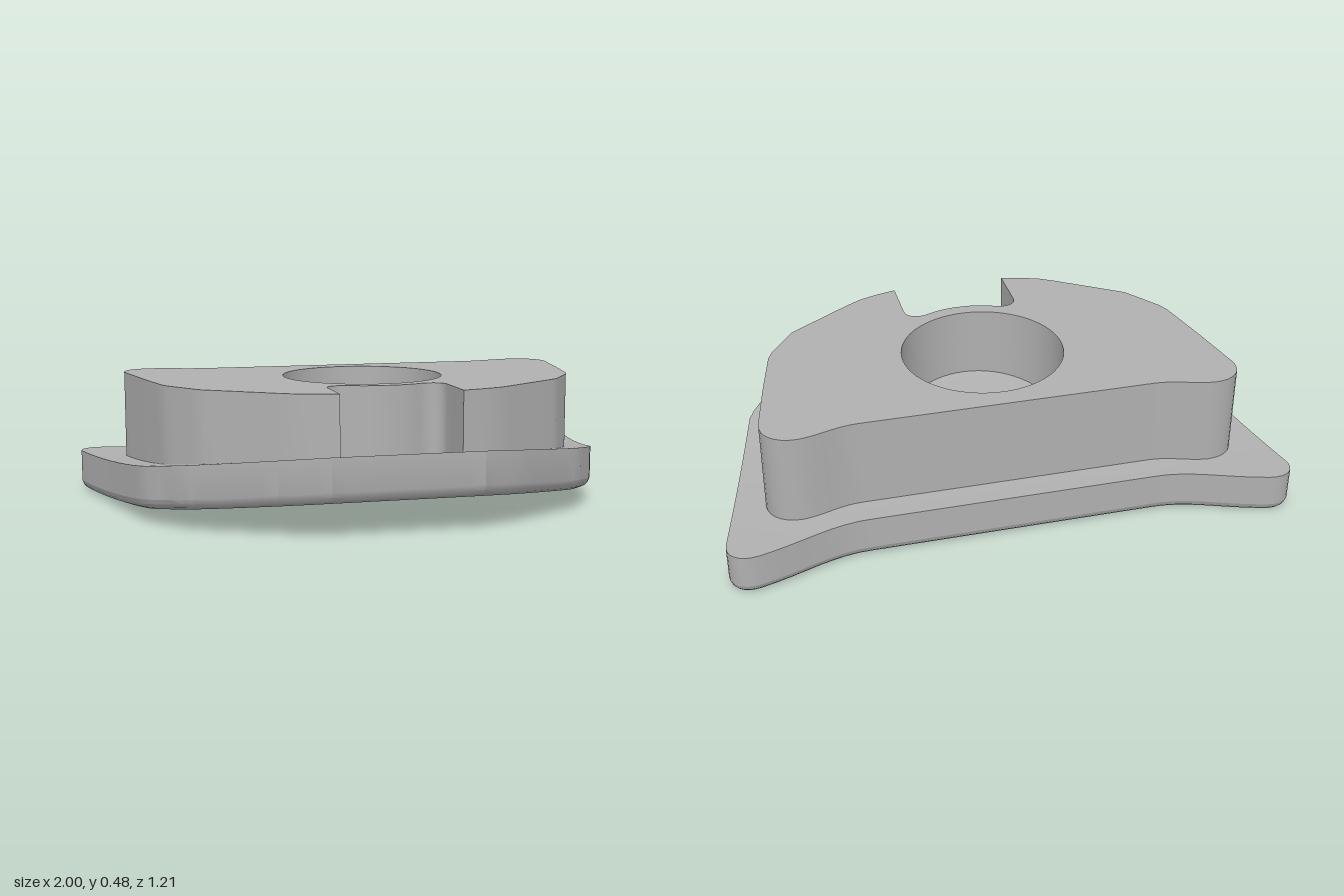
import * as THREE from 'three';
import { toCreasedNormals } from 'three/addons/utils/BufferGeometryUtils.js';

// Curved plate surfaces: height depends on z only
const plateTop = (z) => 0.155 + 0.09 * (z + 0.6) ** 2;
const plateBottom = (z) => plateTop(z) - 0.153;

// Split long edges of a closed loop so that it follows the curved surfaces
function densify(pts, step = 0.07) {
  const out = [];
  pts.forEach((p, i) => {
    const q = pts[(i + 1) % pts.length];
    const n = Math.max(1, Math.ceil(p.distanceTo(q) / step));
    for (let k = 0; k < n; k++) out.push(p.clone().lerp(q, k / n));
  });
  return out;
}

const mirror = (pts) => pts.map((p) => new THREE.Vector2(-p.x, p.y)).reverse();

// Closed loop from its +x half, which starts and ends away from or on x = 0
function symmetricLoop(path) {
  const half = path.getPoints(8);
  const other = mirror(half).filter((p) => Math.abs(p.x) > 1e-4);
  return densify(half.concat(other));
}

// Move every point of a loop inward by d
function inset(pts, d) {
  const n = pts.length;
  return pts.map((p, i) => {
    const a = p.clone().sub(pts[(i + n - 1) % n]).normalize();
    const b = pts[(i + 1) % n].clone().sub(p).normalize();
    const t = a.add(b).normalize();
    return new THREE.Vector2(p.x - t.y * d, p.y + t.x * d);
  });
}

const at = (p, fn) => [p.x, fn(p.y), p.y];

// Band of quads between a lower and an upper loop
function band(out, low, lowY, high, highY) {
  low.forEach((p, i) => {
    const j = (i + 1) % low.length;
    const a = at(p, lowY), b = at(low[j], lowY);
    const c = at(high[j], highY), d = at(high[i], highY);
    out.push(...a, ...d, ...c, ...a, ...c, ...b);
  });
}

// Split triangles along a line of constant z
function cutAtZ(tris, z) {
  const res = [];
  for (const t of tris) {
    const side = t.map((p) => p.y - z);
    if (Math.max(...side) < 1e-6 || Math.min(...side) > -1e-6) { res.push(t); continue; }
    for (const sign of [1, -1]) {
      const poly = [];
      t.forEach((p, i) => {
        const j = (i + 1) % 3;
        if (side[i] * sign >= 0) poly.push(p);
        if (side[i] * side[j] < 0) poly.push(p.clone().lerp(t[j], side[i] / (side[i] - side[j])));
      });
      for (let k = 1; k < poly.length - 1; k++) res.push([poly[0], poly[k], poly[k + 1]]);
    }
  }
  return res;
}

// Filled face bounded by a loop, with holes, laid on a height function
function cap(out, loop, holes, yFn, up, cuts = 0) {
  const all = loop.concat(...holes);
  let tris = THREE.ShapeUtils.triangulateShape(loop, holes).map((f) => f.map((i) => all[i]));
  for (let k = 1; k < cuts; k++) tris = cutAtZ(tris, -0.62 + (1.24 * k) / cuts);
  for (const [a, b, c] of tris) {
    const area = (b.x - a.x) * (c.y - a.y) - (b.y - a.y) * (c.x - a.x);
    const order = (area < 0) === up ? [a, b, c] : [a, c, b];
    order.forEach((p) => out.push(...at(p, yFn)));
  }
}

function makeMesh(name, positions, material, crease = 0.35) {
  const g = new THREE.BufferGeometry();
  g.setAttribute('position', new THREE.Float32BufferAttribute(positions, 3));
  const mesh = new THREE.Mesh(toCreasedNormals(g, crease), material);
  mesh.name = name;
  return mesh;
}

export function createModel() {
  const group = new THREE.Group();
  group.name = 'mountingBlock';
  const grey = new THREE.MeshStandardMaterial({ color: 0xb0b0b0 });
  grey.name = 'grey';

  // Outline of the curved base plate
  const platePath = new THREE.Path().moveTo(0, -0.5).lineTo(0.5, -0.5);
  platePath.bezierCurveTo(0.64, -0.495, 0.74, -0.565, 0.9, -0.605);
  platePath.bezierCurveTo(0.97, -0.622, 1.012, -0.575, 0.998, -0.52);
  for (const [x, z] of [[0.92, -0.19], [0.84, 0.155], [0.82, 0.195], [0.72, 0.34], [0.69, 0.365],
    [0.43, 0.532], [0.4, 0.547], [0.265, 0.603], [0, 0.603]]) platePath.lineTo(x, z);
  const plate = symmetricLoop(platePath);

  // Outline of the raised block, with the notch at the front
  const blockPath = new THREE.Path().moveTo(0, -0.4).lineTo(0.52, -0.4);
  blockPath.bezierCurveTo(0.6, -0.4, 0.66, -0.44, 0.73, -0.445);
  blockPath.bezierCurveTo(0.81, -0.447, 0.855, -0.39, 0.842, -0.32);
  for (const [x, z] of [[0.8, -0.1], [0.757, 0.1], [0.74, 0.14], [0.65, 0.27], [0.63, 0.285],
    [0.41, 0.435], [0.36, 0.465], [0.3, 0.487], [0.215, 0.51], [0.215, 0.33]]) blockPath.lineTo(x, z);
  blockPath.bezierCurveTo(0.215, 0.285, 0.175, 0.27, 0.13, 0.288);
  blockPath.bezierCurveTo(0.09, 0.307, 0.05, 0.315, 0, 0.315);
  const block = symmetricLoop(blockPath);

  // Mouths of the two pockets in the underside
  const mouth = densify([[0.35, -0.39], [0.56, -0.395], [0.7, -0.43], [0.77, -0.435], [0.82, -0.4],
    [0.825, -0.34], [0.72, 0.08], [0.63, 0.22], [0.48, 0.33], [0.42, 0.35], [0.35, 0.35], [0.33, 0.33],
    [0.33, -0.37]].map(([x, z]) => new THREE.Vector2(x, z)));
  const pockets = [['leftPocket', mouth], ['rightPocket', mirror(mouth)]];

  // Base plate: top, side wall, rounded lower edge and underside
  const base = [];
  cap(base, plate, [], plateTop, true, 14);
  const edge = [[0, 0.035], [0.006, 0.019], [0.017, 0.007], [0.035, 0]]
    .map(([d, h]) => ({ loop: inset(plate, d), y: (z) => plateBottom(z) + h }));
  band(base, edge[0].loop, edge[0].y, plate, plateTop);
  for (let i = 1; i < edge.length; i++) {
    band(base, edge[i].loop, edge[i].y, edge[i - 1].loop, edge[i - 1].y);
  }
  cap(base, edge[3].loop, pockets.map((p) => p[1]), plateBottom, false, 14);
  group.add(makeMesh('basePlate', base, grey));

  // Raised block with a round bore down to the plate
  const blockY = () => 0.48;
  const bore = [];
  for (let i = 0; i < 64; i++) {
    const a = (i / 64) * Math.PI * 2;
    bore.push(new THREE.Vector2(0.293 * Math.cos(a), -0.03 - 0.293 * Math.sin(a)));
  }
  const body = [];
  band(body, block, plateTop, block, blockY);
  band(body, bore, plateTop, bore, blockY);
  cap(body, block, [bore], blockY, true);
  group.add(makeMesh('raisedBlock', body, grey));

  // Stepped pockets narrowing upward
  const steps = 12, rise = 0.016;
  for (const [name, loop] of pockets) {
    const centre = new THREE.Vector2(Math.sign(loop[0].x) * 0.54, -0.08);
    const ring = (k) => loop.map((p) => p.clone().lerp(centre, (k / steps) * 0.85)).reverse();
    const level = (k) => (z) => plateBottom(z) + k * rise;
    const pos = [];
    for (let k = 0; k < steps; k++) {
      band(pos, ring(k), level(k), ring(k), level(k + 1));
      band(pos, ring(k), level(k + 1), ring(k + 1), level(k + 1));
    }
    cap(pos, ring(steps), [], level(steps), false);
    group.add(makeMesh(name, pos, grey));
  }
  return group;
}
